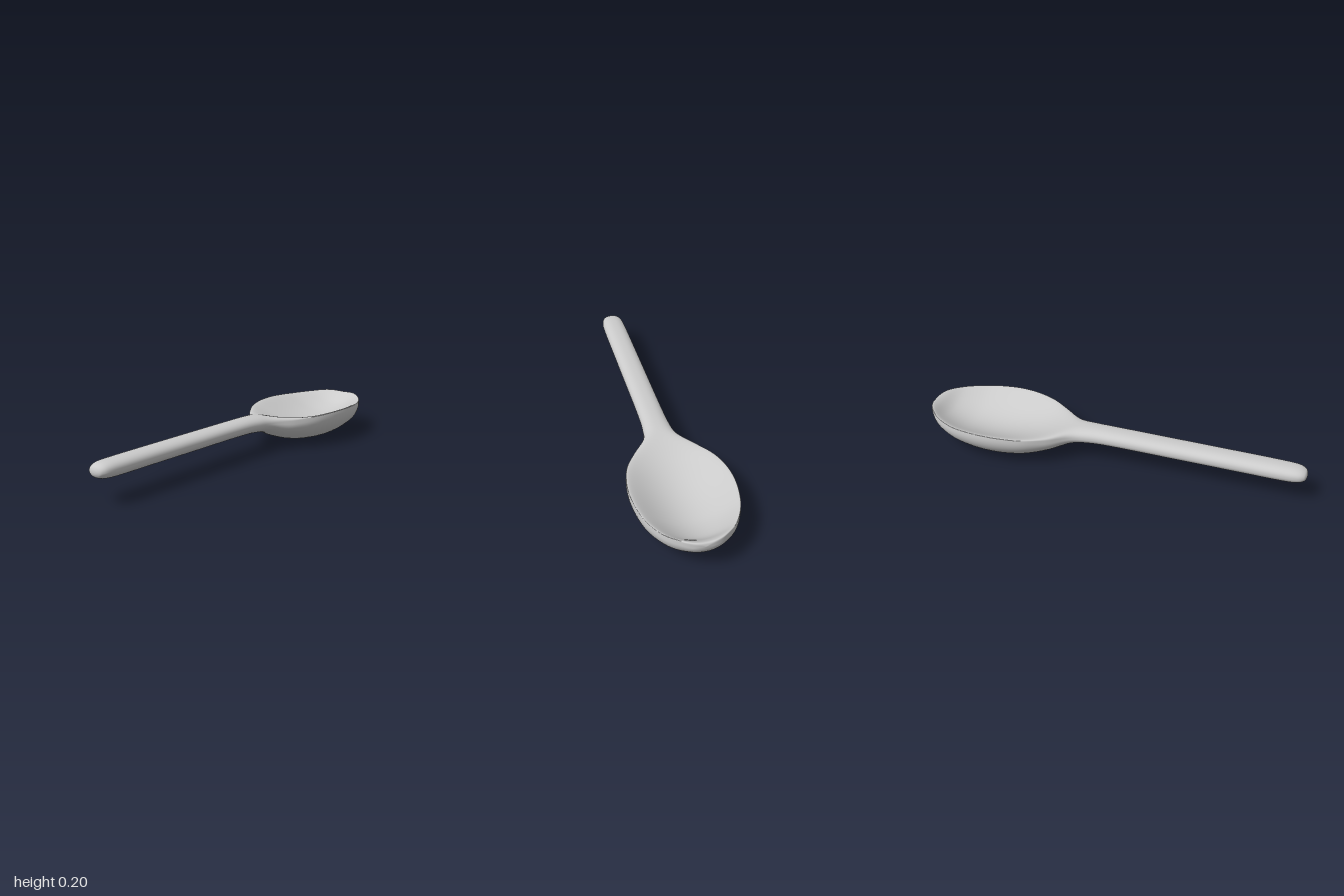
import * as THREE from 'three';

// Stations along the spoon: [z, half width, rim height, bottom height, hollow depth, corner power]
const STATIONS = [
  [-1.0, 0, 0.165, 0.165, 0, 5],
  [-0.992, 0.05, 0.183, 0.135, 0.002, 6],
  [-0.965, 0.102, 0.189, 0.102, 0.018, 8],
  [-0.9, 0.167, 0.184, 0.06, 0.055, 10],
  [-0.8, 0.219, 0.182, 0.026, 0.08, 10],
  [-0.7, 0.243, 0.185, 0.008, 0.09, 10],
  [-0.6, 0.251, 0.187, 0.001, 0.088, 10],
  [-0.5, 0.242, 0.185, 0.006, 0.073, 10],
  [-0.4, 0.214, 0.18, 0.022, 0.048, 9],
  [-0.3, 0.157, 0.179, 0.054, 0.018, 6],
  [-0.2, 0.088, 0.19, 0.095, 0.002, 3],
  [-0.1, 0.069, 0.198, 0.111, 0, 2.4],
  [0.05, 0.064, 0.2, 0.116, 0, 2.4],
  [0.35, 0.063, 0.2, 0.116, 0, 2.4],
  [0.65, 0.062, 0.2, 0.116, 0, 2.4],
  [0.87, 0.061, 0.199, 0.116, 0, 2.4],
  [0.95, 0.056, 0.196, 0.12, 0, 2.4],
  [0.985, 0.042, 0.186, 0.13, 0, 2.2],
  [0.997, 0.022, 0.172, 0.143, 0, 2],
  [1.0, 0, 0.157, 0.157, 0, 2],
];

// Height of the widest line of each section
const waist = (z, rim, bottom) => {
  const inBowl = THREE.MathUtils.smoothstep(-z, 0.1, 0.4);
  return THREE.MathUtils.lerp((rim + bottom) / 2, Math.max(rim - 0.028, (rim + bottom) / 2), inBowl);
};

function loft(rings, sides) {
  const column = (k) => new THREE.SplineCurve(STATIONS.map((s) => new THREE.Vector2(s[0], s[k])));
  const columns = [1, 2, 3, 4, 5].map(column);
  const positions = [];
  const indices = [];
  for (let i = 0; i <= rings; i++) {
    const samples = columns.map((c) => c.getPoint(i / rings));
    const z = samples[0].x;
    const [w, rim, bottom, hollow, power] = samples.map((p) => p.y);
    const mid = waist(z, rim, bottom);
    for (let j = 0; j < sides; j++) {
      const a = (j / sides) * Math.PI * 2;
      const u = Math.cos(a);
      let y;
      if (Math.sin(a) >= 0) {
        // upper side: rounded rim with the hollow sunk into it
        const edge = Math.pow(Math.max(0, 1 - Math.pow(Math.abs(u), power)), 1 / power);
        y = mid + (rim - mid) * edge - hollow * Math.pow(1 - u * u, 1.2);
      } else {
        // underside: half ellipse
        y = mid + (mid - bottom) * Math.sin(a);
      }
      positions.push(w * u, y, z);
    }
  }
  for (let i = 0; i < rings; i++) {
    for (let j = 0; j < sides; j++) {
      const a = i * sides + j;
      const b = i * sides + ((j + 1) % sides);
      const c = a + sides;
      const d = b + sides;
      if (i > 0) indices.push(a, b, c);
      if (i < rings - 1) indices.push(b, d, c);
      else indices.push(a, b, c);
    }
  }
  // the first ring is a single point, so close it with one fan
  const geometry = new THREE.BufferGeometry();
  geometry.setAttribute('position', new THREE.Float32BufferAttribute(positions, 3));
  geometry.setIndex(indices);
  geometry.computeVertexNormals();
  return geometry;
}

export function createModel() {
  const model = new THREE.Group();
  model.name = 'spoon';
  const material = new THREE.MeshStandardMaterial({ color: 0xcccccc, roughness: 0.6 });

  // Bowl, neck and handle flow together as one smooth skin
  const body = new THREE.Mesh(loft(114, 72), material);
  body.name = 'bowlAndHandle';
  model.add(body);
  return model;
}
